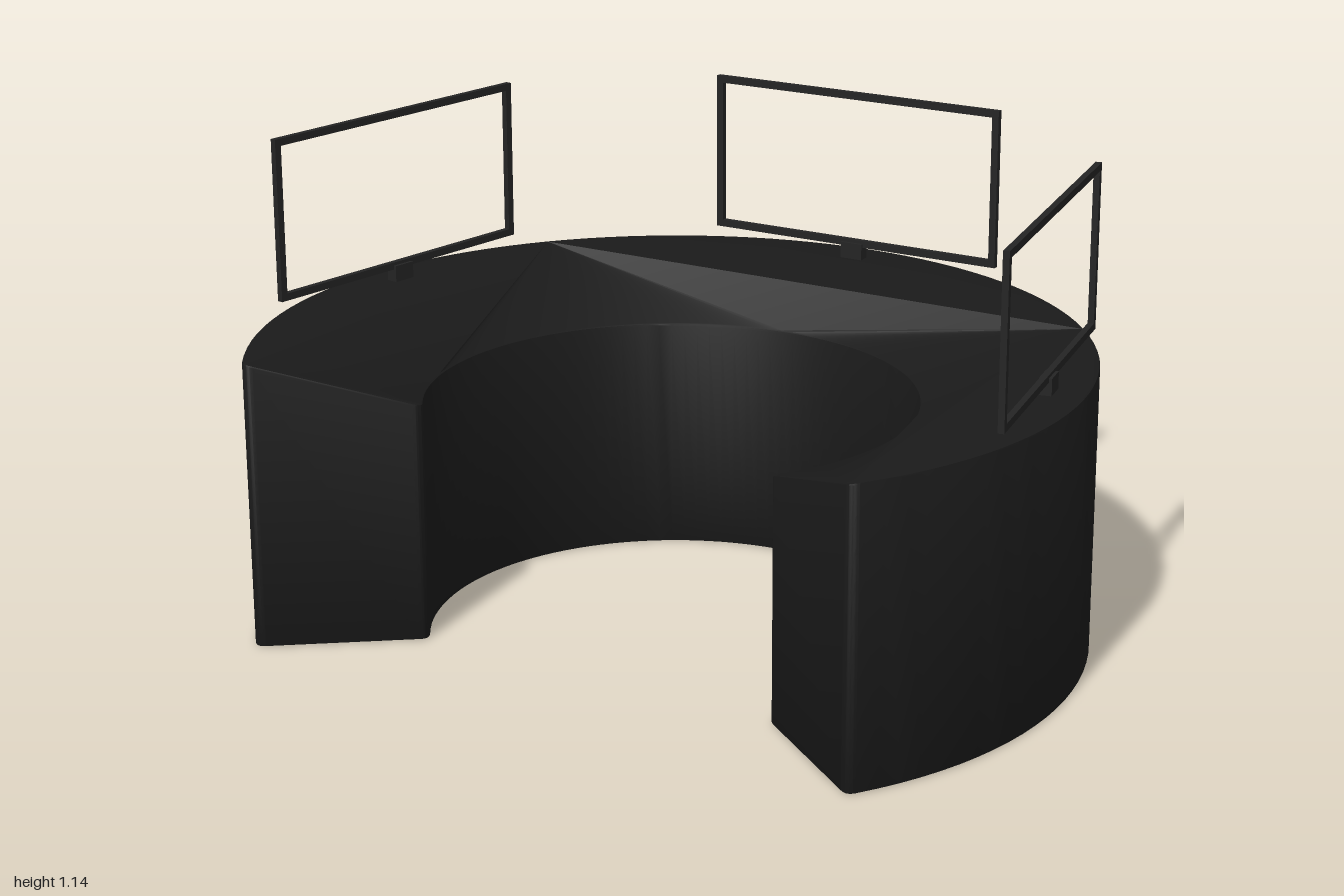
import * as THREE from 'three';
import { toCreasedNormals } from 'three/addons/utils/BufferGeometryUtils.js';

const CENTER_Z = 0.2, OUTER = 1, INNER = 0.585, HEIGHT = 0.71;
const SLOPE = 0.12 / (OUTER - INNER);
const deskMat = new THREE.MeshStandardMaterial({ color: 0x1a1a1a });
const frameMat = new THREE.MeshStandardMaterial({ color: 0x242424 });

function addMesh(parent, name, geometry, material) {
  const mesh = new THREE.Mesh(geometry, material);
  mesh.name = name;
  parent.add(mesh);
  return mesh;
}

// Horseshoe plan with rounded end corners, extruded; its top falls towards the middle
function deskGeometry() {
  const a0 = -37.2 * Math.PI / 180, a1 = Math.PI - a0, c = 0.025;
  const at = (r, a) => [r * Math.cos(a), r * Math.sin(a)];
  const ci = c / INNER;
  const s = new THREE.Shape();
  s.moveTo(...at(OUTER, a0 + c));
  s.absarc(0, 0, OUTER, a0 + c, a1 - c, false);
  s.quadraticCurveTo(...at(OUTER, a1), ...at(OUTER - c, a1));
  s.lineTo(...at(INNER + c, a1));
  s.quadraticCurveTo(...at(INNER, a1), ...at(INNER, a1 - ci));
  s.absarc(0, 0, INNER, a1 - ci, a0 + ci, true);
  s.quadraticCurveTo(...at(INNER, a0), ...at(INNER + c, a0));
  s.lineTo(...at(OUTER - c, a0));
  s.quadraticCurveTo(...at(OUTER, a0), ...at(OUTER, a0 + c));

  const bevel = 0.005;
  const g = new THREE.ExtrudeGeometry(s, {
    depth: HEIGHT - 2 * bevel, curveSegments: 40,
    bevelThickness: bevel, bevelSize: bevel, bevelOffset: -bevel, bevelSegments: 2,
  });
  g.rotateX(-Math.PI / 2).translate(0, bevel, 0);
  const p = g.attributes.position;
  for (let i = 0; i < p.count; i++) {
    if (p.getY(i) < HEIGHT / 2) continue;
    const r = Math.hypot(p.getX(i), p.getZ(i));
    p.setY(i, p.getY(i) - (OUTER - r) * SLOPE);
  }
  return toCreasedNormals(g, 0.5);
}

// Open frame on a neck and a flared foot, standing at the back of the desk
function makeMonitor(name) {
  const monitor = new THREE.Group();
  monitor.name = name;
  const w = 0.405, y0 = 0.74, y1 = 1.145, t = 0.018, z = -0.91, d = 0.015;

  const rect = (path, x, b, e) =>
    path.moveTo(-x, b).lineTo(x, b).lineTo(x, e).lineTo(-x, e).closePath();
  const outline = rect(new THREE.Shape(), w, y0, y1);
  outline.holes.push(rect(new THREE.Path(), w - t, y0 + t, y1 - t));
  const frame = new THREE.ExtrudeGeometry(outline, { depth: d, bevelEnabled: false });
  addMesh(monitor, 'screenFrame', frame.translate(0, 0, z - d / 2), frameMat);

  const neck = new THREE.BoxGeometry(0.06, 0.075, 0.03);
  addMesh(monitor, 'neck', neck.translate(0, 0.7125, z), frameMat);

  // Foot follows the slope of the desk top
  const plan = [[-0.09, -0.035], [0.09, -0.035], [0.06, 0], [0.045, 0.03],
    [-0.045, 0.03], [-0.06, 0]].map(([x, y]) => new THREE.Vector2(x, y));
  const foot = new THREE.ExtrudeGeometry(new THREE.Shape(plan), { depth: 0.012, bevelEnabled: false });
  foot.rotateX(-Math.PI / 2).rotateX(Math.atan(SLOPE));
  foot.translate(0, HEIGHT - (OUTER + z) * SLOPE - 0.003, z);
  addMesh(monitor, 'foot', foot, frameMat);
  return monitor;
}

export function createModel() {
  const model = new THREE.Group();
  model.name = 'curvedDesk';
  addMesh(model, 'desk', deskGeometry(), deskMat).position.z = CENTER_Z;

  // Three monitors turned about the middle of the desk
  for (const [name, deg] of [['rightMonitor', 80], ['backMonitor', 0], ['leftMonitor', -80]]) {
    const monitor = makeMonitor(name);
    monitor.position.z = CENTER_Z;
    monitor.rotation.y = THREE.MathUtils.degToRad(deg);
    model.add(monitor);
  }
  return model;
}
